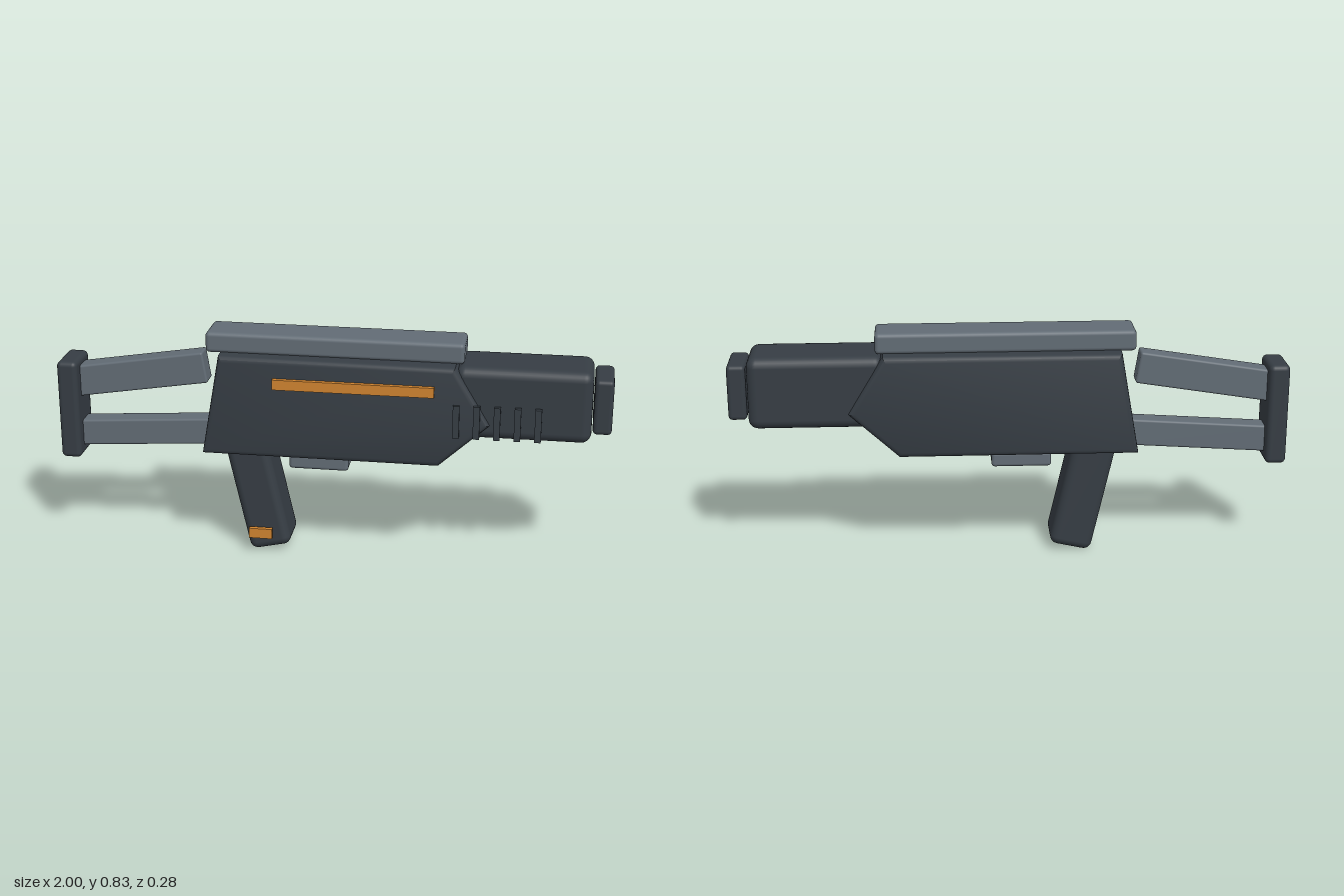
import * as THREE from 'three';
import { RoundedBoxGeometry } from 'three/addons/geometries/RoundedBoxGeometry.js';
import { toCreasedNormals } from 'three/addons/utils/BufferGeometryUtils.js';

const MID = -0.008; // z of the shared centre plane

function makeMaterial(name, color) {
  const material = new THREE.MeshStandardMaterial({ color });
  material.name = name;
  return material;
}

export function createModel() {
  const group = new THREE.Group();
  const dark = makeMaterial('dark slate', 0x363d44);
  const grey = makeMaterial('steel grey', 0x626c75);
  const orange = makeMaterial('orange', 0xd08430);

  function add(name, geometry, material, x, y, z = MID, tilt = 0) {
    const mesh = new THREE.Mesh(geometry, material);
    mesh.name = name;
    mesh.position.set(x, y, z);
    mesh.rotation.z = tilt;
    group.add(mesh);
    return mesh;
  }

  // Rounded box given by its extents in x and y and its depth
  function block(name, material, [x0, x1], [y0, y1], depth, radius, z = MID) {
    const geometry = new RoundedBoxGeometry(x1 - x0, y1 - y0, depth, 3, radius);
    return add(name, geometry, material, (x0 + x1) / 2, (y0 + y1) / 2, z);
  }

  // Receiver: slanted side profile with rounded rims
  const profile = [[-0.455, 0.398], [0.4, 0.398], [0.578, 0.56], [0.452, 0.769], [-0.39, 0.769]];
  const bevel = 0.02;
  const depth = 0.265;
  const shape = new THREE.Shape(profile.map(([x, y]) => new THREE.Vector2(x, y)));
  const receiver = new THREE.ExtrudeGeometry(shape, {
    depth: depth - 2 * bevel, bevelSize: bevel, bevelThickness: bevel, bevelOffset: -bevel, bevelSegments: 3,
  });
  receiver.translate(0, 0, bevel - depth / 2);
  add('receiver', toCreasedNormals(receiver, 0.6), dark, 0, 0);

  // Barrel, muzzle and top rail
  block('barrel', dark, [0.45, 0.93], [0.505, 0.766], 0.23, 0.035);
  block('muzzle', dark, [0.934, 1], [0.537, 0.737], 0.187, 0.015);
  block('topRail', grey, [-0.445, 0.48], [0.765, 0.84], 0.153, 0.015);

  // Grip and trigger block
  add('grip', new RoundedBoxGeometry(0.155, 0.46, 0.175, 3, 0.03), dark, -0.265, 0.243, MID, 0.22);
  block('trigger', grey, [-0.146, 0.07], [0.335, 0.39], 0.142, 0.012);

  // Stock: two sloping struts and a butt plate
  function strut(name, [x0, y0], [x1, y1], height) {
    const length = Math.hypot(x1 - x0, y1 - y0);
    const geometry = new RoundedBoxGeometry(length, height, 0.076, 2, 0.008);
    add(name, geometry, grey, (x0 + x1) / 2, (y0 + y1) / 2, MID - 0.003, Math.atan2(y1 - y0, x1 - x0));
  }
  strut('upperStrut', [-0.96, 0.612], [-0.458, 0.692], 0.116);
  strut('lowerStrut', [-0.96, 0.413], [-0.42, 0.449], 0.098);
  block('buttPlate', dark, [-1, -0.925], [0.331, 0.702], 0.165, 0.018);

  // Vent ribs on the front side
  for (let i = 0; i < 5; i++) {
    add('ventRib' + (i + 1), new THREE.BoxGeometry(0.023, 0.12, 0.017), dark, 0.46 + i * 0.0715, 0.576, 0.127);
  }

  // Orange light strips
  add('sideStrip', new THREE.BoxGeometry(0.573, 0.037, 0.017), orange, 0.095, 0.682, 0.134);
  add('gripStrip', new THREE.BoxGeometry(0.085, 0.038, 0.017), orange, -0.248, 0.086, 0.096);

  return group;
}
